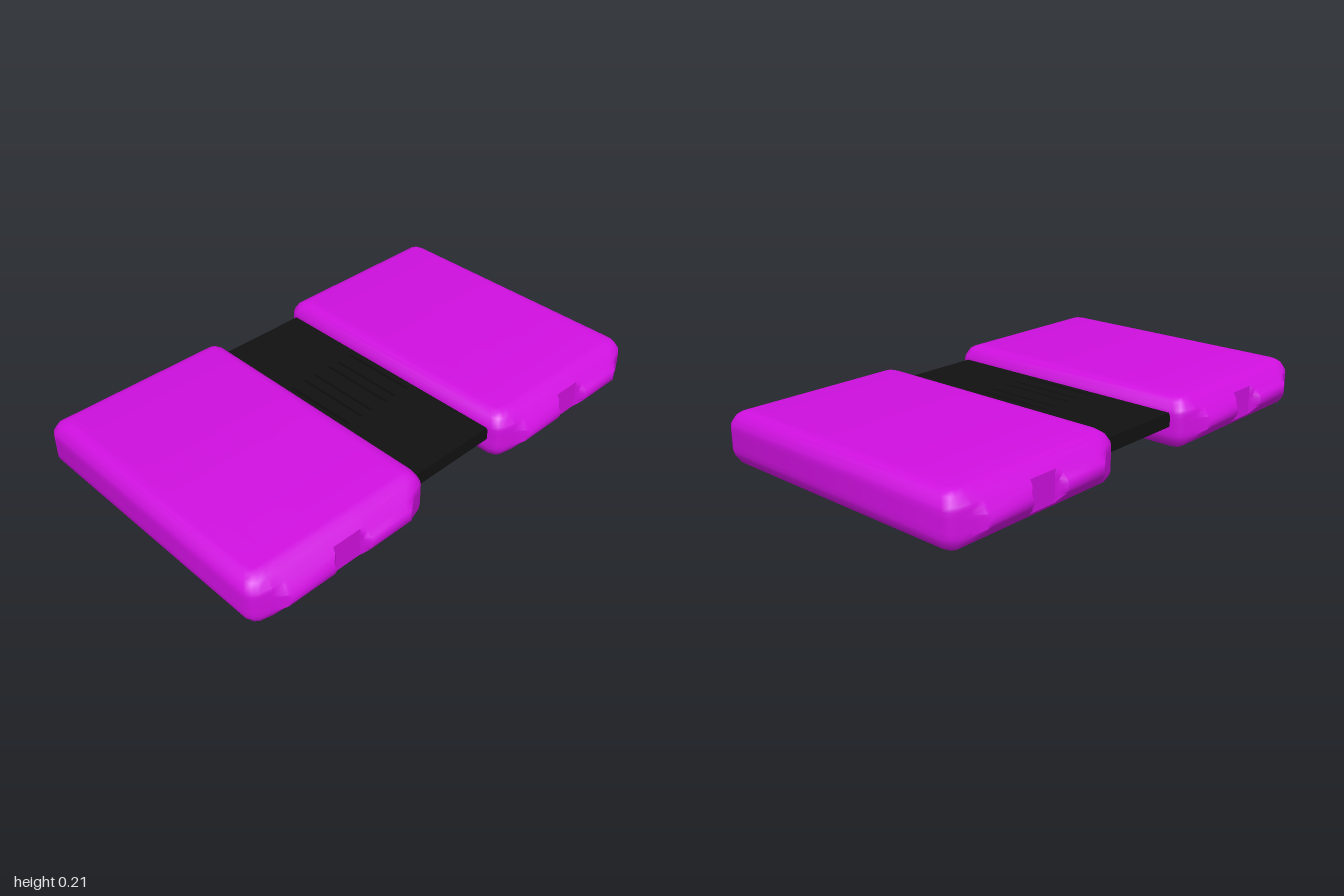
import * as THREE from 'three';
import { toCreasedNormals } from 'three/addons/utils/BufferGeometryUtils.js';

const padMaterial = new THREE.MeshStandardMaterial({ color: 0xd010e0 });
const hingeMaterial = new THREE.MeshStandardMaterial({ color: 0x111111 });

// Plan outline of a pad: [distance from pad centre line, furthest z]
const half = [[0.06, 0.6], [0.065, 0.615], [0.085, 0.64], [0.27, 0.64], [0.285, 0.632],
  [0.325, 0.602], [0.37, 0.588], [0.388, 0.575], [0.4, 0.55]];
const outline = [...half.map(([u, z]) => [-u, z]).reverse(), ...half];

// Height levels of a pad: [y, side inset, z limit]
const lower = [[0, 0.055, 0.53], [0.005, 0.035, 0.55], [0.018, 0.018, 0.57], [0.045, 0.003, 0.6],
  [0.06, 0, 0.614], [0.08, 0, 0.632], [0.095, 0, 0.64]];
const levels = [...lower, ...lower.map(([y, d, e]) => [0.21 - y, d, e]).reverse()];

// Stacked rings: the plan outline clipped by the bevelled end profile at each height
function padGeometry() {
  const positions = [], index = [];
  const n = outline.length, ring = 2 * n;
  for (const [y, inset, limit] of levels) {
    const front = outline.map(([u, t]) => {
      const pull = inset * Math.max(0, (Math.abs(u) - 0.27) / 0.13);
      return [u - Math.sign(u) * pull, Math.min(limit, t - pull)];
    });
    front.forEach(([x, z]) => positions.push(x, y, z));
    front.reverse().forEach(([x, z]) => positions.push(x, y, -z));
  }
  for (let k = 0; k < levels.length - 1; k++) {
    for (let j = 0; j < ring; j++) {
      const a = k * ring + j, b = k * ring + (j + 1) % ring;
      index.push(a, b, b + ring, a, b + ring, a + ring);
    }
  }
  // top and bottom caps as strips from front to back
  const top = (levels.length - 1) * ring;
  for (let i = 0; i < n - 1; i++) {
    const j = ring - 1 - i;
    index.push(top + i, top + i + 1, top + j - 1, top + i, top + j - 1, top + j);
    index.push(i, j - 1, i + 1, i, j, j - 1);
  }
  const geometry = new THREE.BufferGeometry();
  geometry.setAttribute('position', new THREE.Float32BufferAttribute(positions, 3));
  geometry.setIndex(index);
  return toCreasedNormals(geometry, 0.75);
}

// Extrudes an x,y profile along z, centred on z
function bar(points, length, z) {
  const shape = new THREE.Shape(points.map(([x, y]) => new THREE.Vector2(x, y)));
  return new THREE.ExtrudeGeometry(shape, { depth: length, bevelEnabled: false })
    .translate(0, 0, z - length / 2);
}

function rectangle(path, x, z, w, l) {
  path.moveTo(x - w / 2, z - l / 2);
  path.lineTo(x + w / 2, z - l / 2);
  path.lineTo(x + w / 2, z + l / 2);
  path.lineTo(x - w / 2, z + l / 2);
  path.closePath();
  return path;
}

function createHinge() {
  const hinge = new THREE.Group();
  hinge.name = 'hinge';
  const add = (name, geometry, x = 0) => {
    const mesh = new THREE.Mesh(geometry, hingeMaterial);
    mesh.name = name;
    mesh.position.x = x;
    hinge.add(mesh);
  };

  // flat panel with six narrow slots
  const plan = rectangle(new THREE.Shape(), 0, 0, 0.385, 1.07);
  for (const x of [-0.162, -0.094, -0.04, 0.04, 0.09, 0.16]) {
    plan.holes.push(rectangle(new THREE.Path(), x, -0.005, 0.013, 0.325));
  }
  add('panel', new THREE.ExtrudeGeometry(plan, { depth: 0.058, bevelEnabled: false })
    .rotateX(Math.PI / 2).translate(0, 0.155, 0));

  // sloping lips that tuck into the pads
  for (const s of [-1, 1]) {
    const lip = [[0.19, 0.097], [0.207, 0.1], [0.207, 0.13], [0.19, 0.155]].map(([x, y]) => [s * x, y]);
    add('edgeLip', bar(lip, 1.07, 0));
  }

  // ribs below the panel, flared at both ends of the slots
  const rib = [[-0.025, 0.03], [0.025, 0.03], [0.029, 0.1], [-0.029, 0.1]];
  const flare = [[-0.025, 0.03], [0.025, 0.03], [0.03, 0.068], [0.046, 0.092],
    [0.046, 0.1], [-0.046, 0.1], [-0.046, 0.092], [-0.03, 0.068]];
  for (const x of [-0.128, 0, 0.125]) {
    add('rib', bar(rib, 0.34, -0.005), x);
    for (const s of [-1, 1]) add('ribEnd', bar(flare, 0.04, -0.005 + s * 0.183), x);
  }
  return hinge;
}

export function createModel() {
  const model = new THREE.Group();
  model.name = 'foldingPads';
  const geometry = padGeometry();
  for (const [name, x] of [['leftPad', 0.6], ['rightPad', -0.6]]) {
    const pad = new THREE.Mesh(geometry, padMaterial);
    pad.name = name;
    pad.position.x = x;
    model.add(pad);
  }
  model.add(createHinge());
  return model;
}
